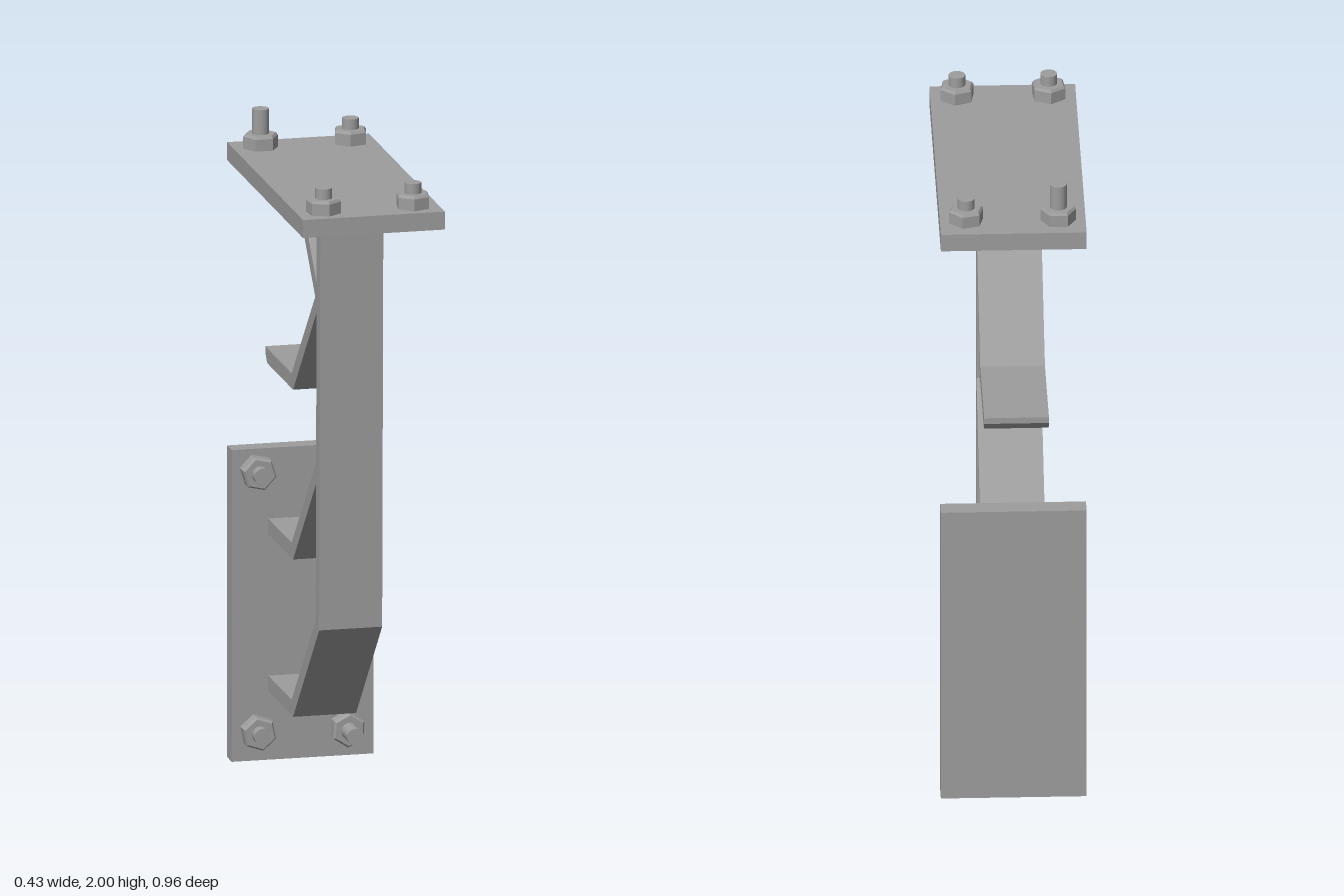
import * as THREE from 'three';

const material = new THREE.MeshStandardMaterial({ color: 0x9d9d9d, flatShading: true });
const smooth = new THREE.MeshStandardMaterial({ color: 0x9d9d9d });

export function createModel() {
  const model = new THREE.Group();
  model.name = 'bracket';

  const add = (name, geometry, parent = model, mat = material) => {
    const mesh = new THREE.Mesh(geometry, mat);
    mesh.name = name;
    parent.add(mesh);
    return mesh;
  };

  // Box given by its extents
  const plate = (name, x0, x1, y0, y1, z0, z1) =>
    add(name, new THREE.BoxGeometry(x1 - x0, y1 - y0, z1 - z0))
      .position.set((x0 + x1) / 2, (y0 + y1) / 2, (z0 + z1) / 2);

  // Flat steel bar: side profile in [z, y], extruded across x
  const strap = (name, profile) => {
    const shape = new THREE.Shape(profile.map(([z, y]) => new THREE.Vector2(z, y)));
    const geometry = new THREE.ExtrudeGeometry(shape, { depth: 0.192, bevelEnabled: false });
    geometry.rotateY(-Math.PI / 2).translate(0.087, 0, 0);
    add(name, geometry);
  };

  // Plates
  plate('topPlate', -0.216, 0.216, 1.825, 1.88, -0.478, 0.478);
  plate('spacerPlate', -0.125, 0.115, 1.787, 1.825, -0.212, 0.32);
  plate('wallPlate', -0.216, 0.216, 0, 0.953, -0.478, -0.42);

  // Upright and its diagonal brace
  strap('upright', [[0.237, 1.787], [0.192, 1.787], [0.178, 0.575], [0.222, 0.555]]);
  strap('brace', [[0.027, 1.787], [-0.034, 1.787], [0.175, 1.56], [0.193, 1.545], [0.193, 1.606]]);

  // Bent arms
  strap('lowerArm', [[0.222, 0.555], [0.178, 0.575], [-0.125, 0.257], [-0.42, 0.257],
    [-0.42, 0.209], [-0.107, 0.209]]);
  strap('middleArm', [[0.187, 1.061], [-0.125, 0.737], [-0.42, 0.737], [-0.42, 0.69],
    [-0.107, 0.69], [0.187, 0.997]]);
  strap('upperArm', [[0.193, 1.58], [0.175, 1.565], [-0.125, 1.255], [-0.457, 1.255],
    [-0.457, 1.236], [-0.435, 1.209], [-0.107, 1.209], [0.193, 1.522]]);

  // Nut with chamfered top and a protruding stud, standing along local +y
  const fastener = (name, length, turn) => {
    const group = new THREE.Group();
    group.name = name;
    const nut = new THREE.LatheGeometry(
      [[0, 0], [0.053, 0], [0.053, 0.036], [0.047, 0.044], [0, 0.044]]
        .map(([r, y]) => new THREE.Vector2(r, y)), 6).toNonIndexed();
    nut.computeVertexNormals();
    add('nut', nut, group).rotation.y = turn;
    add('stud', new THREE.CylinderGeometry(0.025, 0.025, length, 20), group, smooth)
      .position.y = length / 2;
    model.add(group);
    return group;
  };

  // Top fasteners: x, z, stud length, nut turn
  [[-0.135, -0.393, 0.12, Math.PI / 2], [0.138, -0.39, 0.076, 0.28 + Math.PI / 2],
    [-0.135, 0.403, 0.076, 0.1], [0.137, 0.403, 0.076, -0.15]]
    .forEach(([x, z, length, turn]) =>
      fastener('topFastener', length, turn).position.set(x, 1.88, z));

  // Wall fasteners: x, y, stud length, nut turn
  [[-0.14, 0.885, 0.076, 0.3], [0.132, 0.882, 0.076, 0.1],
    [-0.14, 0.09, 0.076, 0.2], [0.132, 0.085, 0.12, -0.05]]
    .forEach(([x, y, length, turn]) => {
      const bolt = fastener('wallFastener', length, turn);
      bolt.position.set(x, y, -0.42);
      bolt.rotation.x = Math.PI / 2;
    });

  return model;
}
